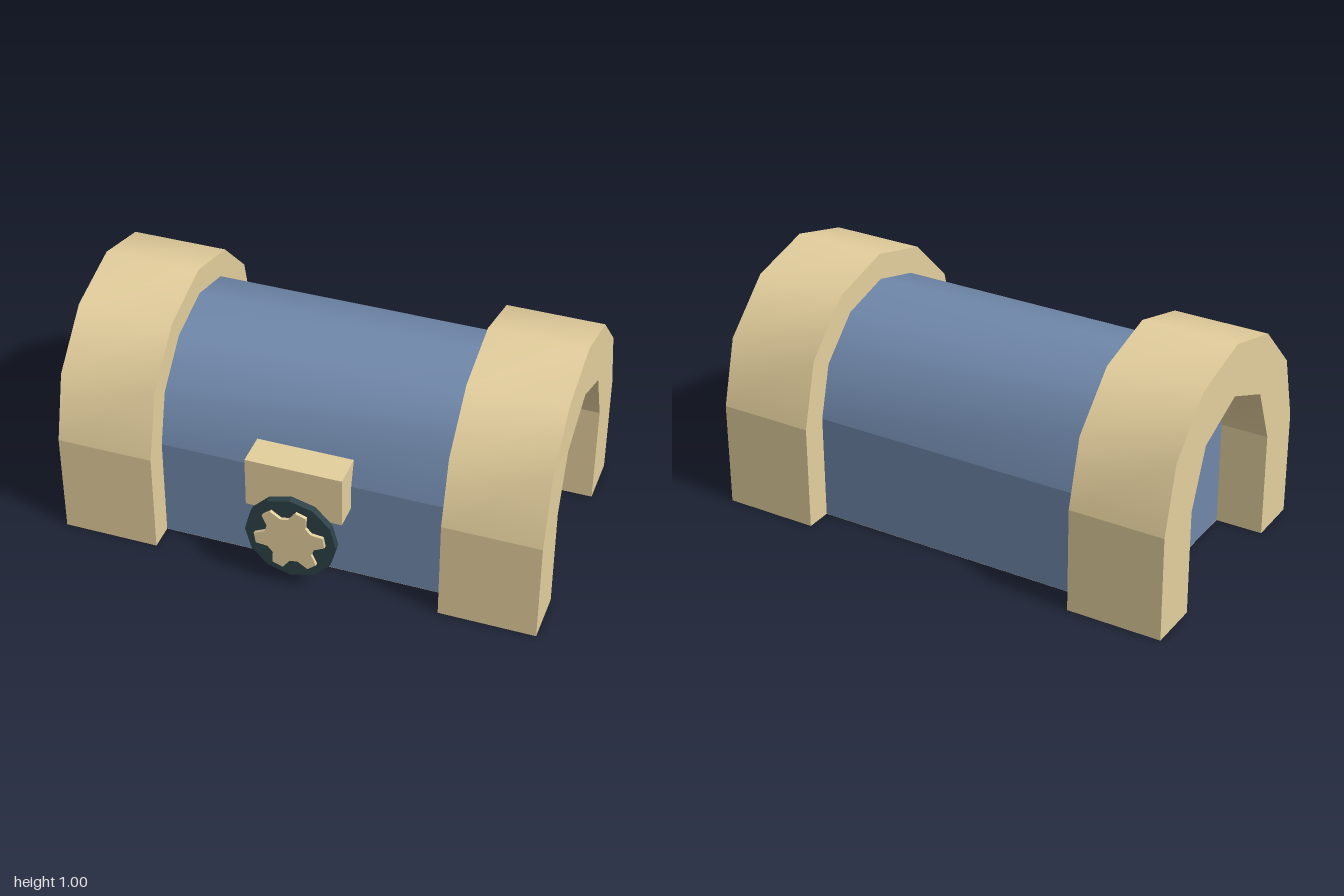
import * as THREE from 'three';
import { toCreasedNormals } from 'three/addons/utils/BufferGeometryUtils.js';

const SPRING = 0.445;  // height where the vaults begin
const MID_Z = -0.025;  // centre line of the chest
const OUTER = 0.555, INNER = 0.335, BODY = 0.443;

const material = (name, color) => {
  const m = new THREE.MeshStandardMaterial({ color });
  m.name = name;
  return m;
};

function addMesh(parent, name, geometry, mat, x = 0, y = 0, z = 0) {
  const mesh = new THREE.Mesh(geometry, mat);
  mesh.name = name;
  mesh.position.set(x, y, z);
  parent.add(mesh);
  return mesh;
}

// Points of a half circle with a given number of straight sides
function arc(radius, sides) {
  return Array.from({ length: sides + 1 }, (_, i) => {
    const a = (i / sides) * Math.PI;
    return new THREE.Vector2(Math.cos(a) * radius, Math.sin(a) * radius);
  });
}

// Extrudes a cross-section along x, centred, with a smoothly shaded vault
function vault(points, length) {
  const g = new THREE.ExtrudeGeometry(new THREE.Shape(points), { depth: length, bevelEnabled: false });
  g.translate(0, 0, -length / 2);
  g.rotateY(Math.PI / 2);
  return toCreasedNormals(g, THREE.MathUtils.degToRad(50));
}

// Regular 12-sided disc outline with a corner at the top
function discShape(radius) {
  return new THREE.Shape(Array.from({ length: 12 }, (_, i) => {
    const a = (i / 12) * Math.PI * 2;
    return new THREE.Vector2(Math.cos(a) * radius, Math.sin(a) * radius);
  }));
}

// Six blunt teeth, turned slightly
function starShape(tip, valley) {
  const points = [];
  for (let i = 0; i < 6; i++) {
    for (const [offset, r] of [[-9, tip], [9, tip], [21, valley], [39, valley]]) {
      const a = THREE.MathUtils.degToRad(i * 60 + 10 + offset);
      points.push(new THREE.Vector2(Math.cos(a) * r, Math.sin(a) * r));
    }
  }
  return new THREE.Shape(points);
}

export function createModel() {
  const model = new THREE.Group();
  model.name = 'chest';
  const tan = material('tan', 0xe4cf9d);
  const blue = material('slate blue', 0x7088ab);
  const teal = material('dark teal', 0x2c4147);

  // Wide body between the arches, and a narrower core reaching halfway into them
  const body = new THREE.Group();
  body.name = 'body';
  model.add(body);
  const floor = 0.001;
  for (const [name, length, radius, sides] of [['body', 1.2, BODY, 6], ['core', 1.6, INNER, 4]]) {
    const wallHeight = SPRING - floor;
    addMesh(body, name + 'Walls', new THREE.BoxGeometry(length, wallHeight, radius * 2), blue, 0, floor + wallHeight / 2, MID_Z);
    addMesh(body, name + 'Lid', vault(arc(radius, sides), length), blue, 0, SPRING, MID_Z);
    addMesh(body, name + 'Floor', new THREE.BoxGeometry(length, floor, radius * 2), tan, 0, floor / 2, MID_Z);
  }

  // Open arches at both ends
  const archGeometry = vault([...arc(OUTER, 6), ...arc(INNER, 4).reverse()], 0.4);
  const legGeometry = new THREE.BoxGeometry(0.4, SPRING, OUTER - INNER);
  for (const side of [-1, 1]) {
    const arch = new THREE.Group();
    arch.name = side > 0 ? 'leftArch' : 'rightArch';
    arch.position.set(side * 0.8, 0, MID_Z);
    model.add(arch);
    addMesh(arch, 'archTop', archGeometry, tan, 0, SPRING, 0);
    for (const s of [-1, 1]) {
      addMesh(arch, s > 0 ? 'frontLeg' : 'backLeg', legGeometry, tan, 0, SPRING / 2, s * (OUTER + INNER) / 2);
    }
  }

  // Latch block with a round lock hanging in front of it
  const latch = new THREE.Group();
  latch.name = 'latch';
  model.add(latch);
  addMesh(latch, 'latchBlock', new THREE.BoxGeometry(0.4, 0.22, 0.2), tan, 0, 0.447, 0.428);
  addMesh(latch, 'lockDisc', new THREE.ExtrudeGeometry(discShape(0.19), { depth: 0.03, bevelEnabled: false }), teal, 0, 0.246, 0.54);
  addMesh(latch, 'lockStar', new THREE.ExtrudeGeometry(starShape(0.148, 0.105), { depth: 0.014, bevelEnabled: false }), tan, 0, 0.246, 0.57);

  return model;
}
